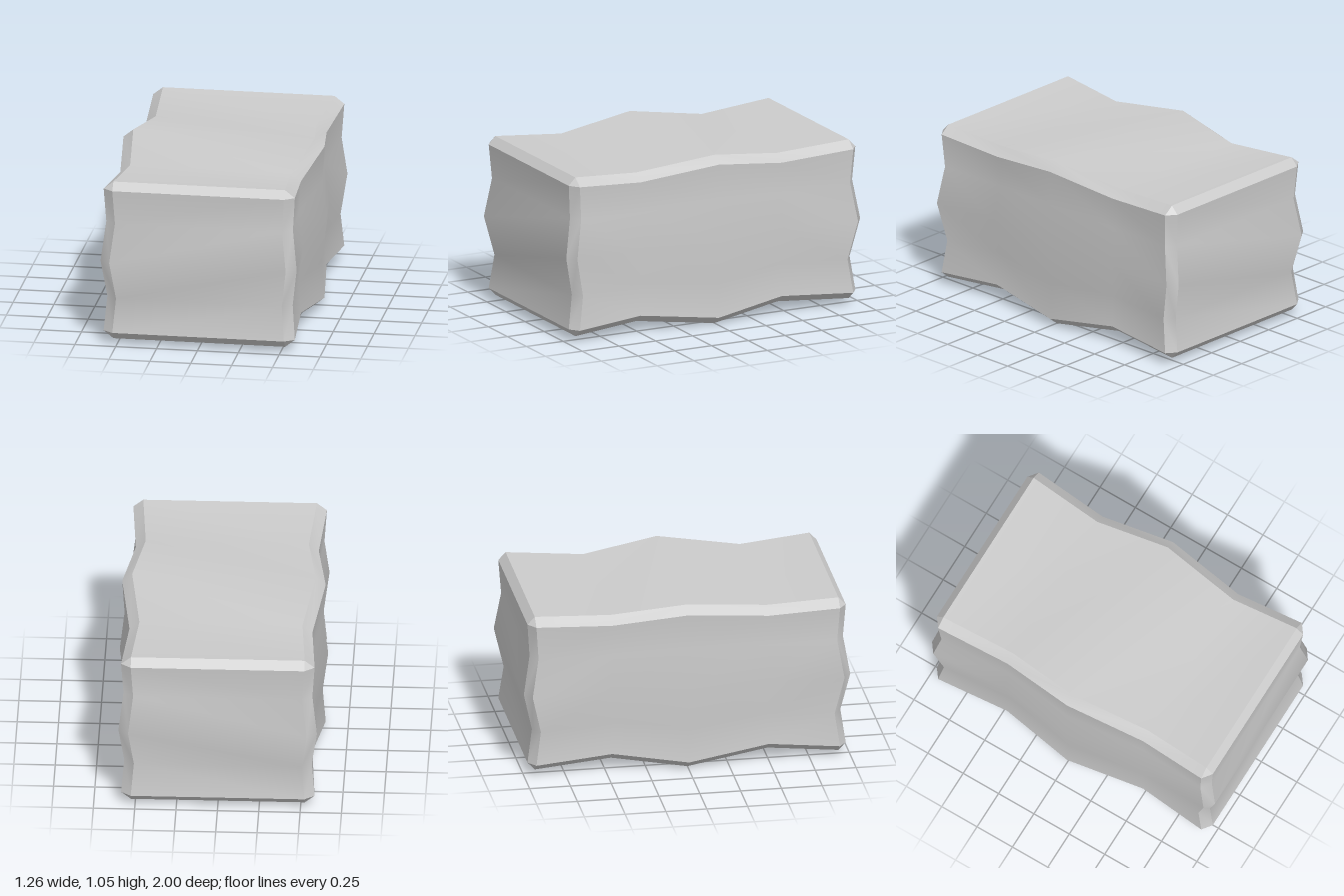
import * as THREE from 'three';
import { mergeGeometries } from 'three/addons/utils/BufferGeometryUtils.js';

const MID_Y = 0.5275;
const half = [0.585, 0.4975, 0.975]; // half sizes of the unwarped block
const levels = [ // rows of points on the faces, inside the bevels
  [-0.525, 0.525],
  [-0.45, -0.24, 0, 0.24, 0.45],
  [-0.93, -0.46, 0, 0.5, 0.93],
];

// linear interpolation through five values placed at the given levels
function wave(t, at, values) {
  if (t <= at[0]) return values[0];
  for (let i = 1; i < at.length; i++) {
    if (t <= at[i]) {
      return THREE.MathUtils.mapLinear(t, at[i - 1], at[i], values[i - 1], values[i]);
    }
  }
  return values[values.length - 1];
}

// pushes each side in and out in shallow waves
function warp([x, y, z]) {
  const [lx, ly, lz] = levels;
  const amount = (t, l) => THREE.MathUtils.clamp(t / l[l.length - 1], -1, 1);
  const dx = wave(z, lz, [0, -0.032, 0.03, -0.032, 0]) + wave(y, ly, [0, -0.018, 0.015, -0.014, 0]);
  const dy = wave(z, lz, [0, -0.032, 0.03, -0.032, 0]);
  const dz = wave(y, ly, [0, -0.03, 0.025, -0.015, 0]);
  return new THREE.Vector3(
    x + amount(x, lx) * dx,
    MID_Y + y + amount(y, ly) * dy,
    z + amount(z, lz) * dz
  );
}

// smooth patch from rows of points, turned to face along "out"
function patch(rows, out) {
  const n = rows[0].length;
  const points = rows.flat().map(warp);
  const index = [];
  for (let i = 0; i < rows.length - 1; i++) {
    for (let j = 0; j < n - 1; j++) {
      const a = i * n + j, b = a + 1, c = a + n, d = c + 1;
      index.push(a, b, d, a, d, c);
    }
  }
  return finish(points, index, out);
}

function finish(points, index, out) {
  const [a, b, c] = index.slice(0, 3).map((i) => points[i]);
  const normal = b.clone().sub(a).cross(c.clone().sub(a));
  if (normal.dot(new THREE.Vector3(...out)) < 0) index.reverse();
  const geometry = new THREE.BufferGeometry().setFromPoints(points);
  geometry.setIndex(index);
  geometry.computeVertexNormals();
  return geometry;
}

// point with three coordinates given per axis
function place(a, pa, b, pb, c, pc) {
  const p = [0, 0, 0];
  p[a] = pa; p[b] = pb; p[c] = pc;
  return p;
}

export function createModel() {
  const material = new THREE.MeshStandardMaterial({ color: 0xcccccc });
  const faces = [], bevels = [], corners = [];
  const inner = levels.map((l) => l[l.length - 1]);
  const signs = [-1, 1];

  for (let a = 0; a < 3; a++) {
    const b = (a + 1) % 3, c = (a + 2) % 3;
    // two large wavy faces across axis a
    for (const s of signs) {
      const rows = levels[b].map((u) => levels[c].map((v) => place(a, s * half[a], b, u, c, v)));
      faces.push(patch(rows, place(a, s, b, 0, c, 0)));
    }
    // four bevel strips along axis a
    for (const s of signs) for (const t of signs) {
      const rows = [
        levels[a].map((u) => place(a, u, b, s * half[b], c, t * inner[c])),
        levels[a].map((u) => place(a, u, b, s * inner[b], c, t * half[c])),
      ];
      bevels.push(patch(rows, place(a, 0, b, s, c, t)));
    }
  }

  // triangle at every corner
  for (const x of signs) for (const y of signs) for (const z of signs) {
    const s = [x, y, z];
    const points = [0, 1, 2].map((a) =>
      warp(s.map((sign, i) => sign * (i === a ? half[i] : inner[i]))));
    corners.push(finish(points, [0, 1, 2], s));
  }

  const group = new THREE.Group();
  group.name = 'wavyBlock';
  for (const [name, parts] of [['faces', faces], ['bevels', bevels], ['corners', corners]]) {
    const mesh = new THREE.Mesh(mergeGeometries(parts), material);
    mesh.name = name;
    group.add(mesh);
  }
  return group;
}
